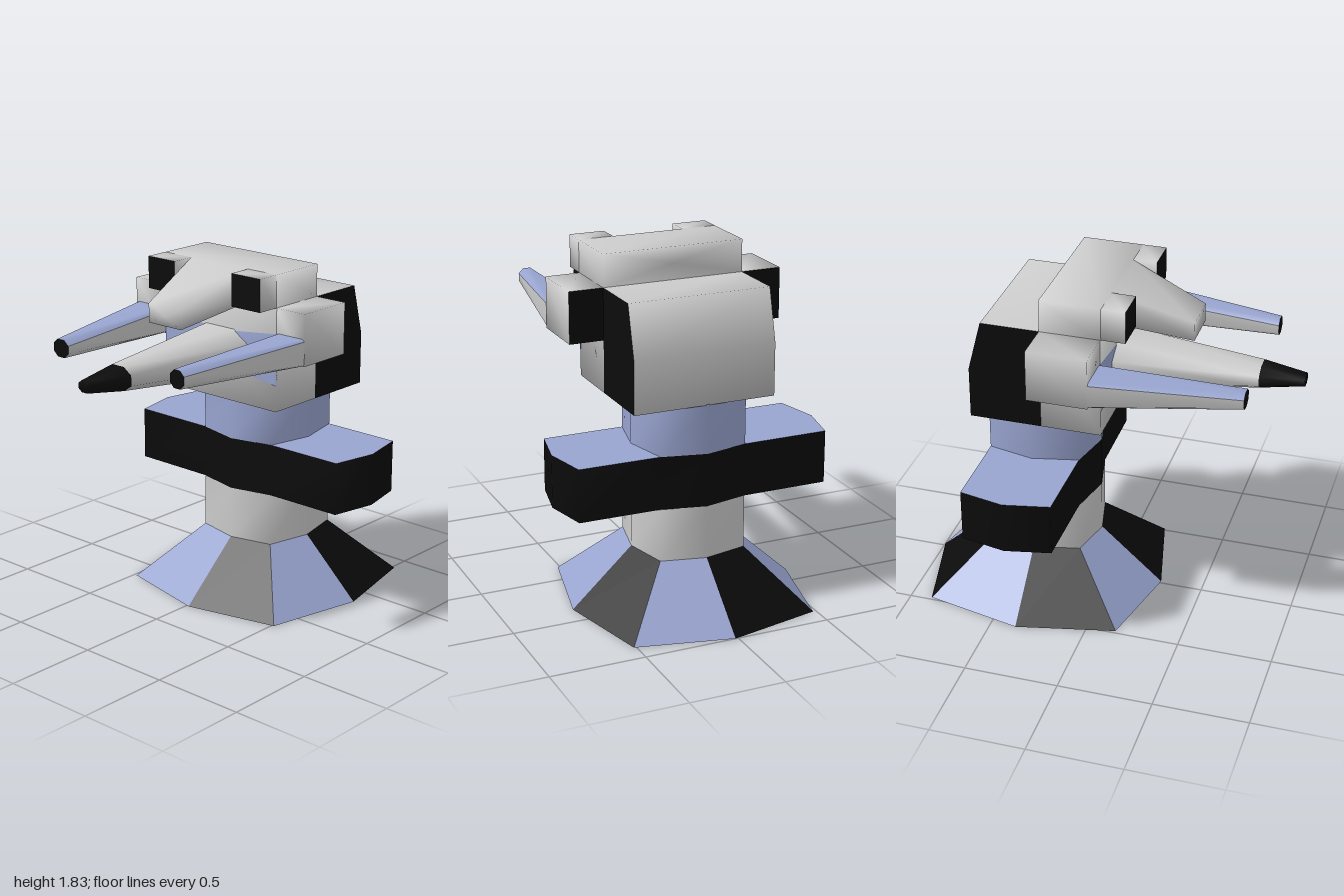
import * as THREE from 'three';
import { mergeVertices } from 'three/addons/utils/BufferGeometryUtils.js';

const GREY = 0xcccccc, LILAC = 0x98a4cf, BLACK = 0x0b0b0b;
const V = (x, y, z) => new THREE.Vector3(x, y, z);

// Skin a row of equal-length rings. paint(band, side) gives a colour or null for
// no face; caps = [first, last] likewise. Each colour is smoothed on its own.
function loft(name, rings, paint, caps = [null, null]) {
  const tris = [], n = rings[0].length;
  for (let r = 0; r < rings.length - 1; r++) {
    for (let i = 0; i < n; i++) {
      const j = (i + 1) % n, c = paint(r, i);
      if (c === null) continue;
      const [a, b, d, e] = [rings[r][i], rings[r][j], rings[r + 1][j], rings[r + 1][i]];
      tris.push([c, a, b, d], [c, a, d, e]);
    }
  }
  const middle = (ring) => ring.reduce((s, p) => s.add(p), V(0, 0, 0)).divideScalar(n);
  const cap = (ring, c, flip) => {
    const m = middle(ring);
    ring.forEach((p, i) => {
      const q = ring[(i + 1) % n];
      tris.push(flip ? [c, m, q, p] : [c, m, p, q]);
    });
  };
  if (caps[0] !== null) cap(rings[0], caps[0], true);
  if (caps[1] !== null) cap(rings[rings.length - 1], caps[1], false);

  // Turn all faces outwards
  const centre = middle(rings[0]).add(middle(rings[rings.length - 1])).multiplyScalar(0.5);
  let volume = 0;
  for (const [, a, b, c] of tris) {
    volume += a.clone().sub(centre).dot(b.clone().sub(centre).cross(c.clone().sub(centre)));
  }
  const byColor = new Map();
  for (const [color, a, b, c] of tris) {
    if (!byColor.has(color)) byColor.set(color, []);
    byColor.get(color).push(...(volume < 0 ? [a, c, b] : [a, b, c]));
  }
  const group = new THREE.Group();
  group.name = name;
  for (const [color, points] of byColor) {
    const geometry = mergeVertices(new THREE.BufferGeometry().setFromPoints(points));
    geometry.computeVertexNormals();
    const mesh = new THREE.Mesh(geometry, new THREE.MeshStandardMaterial({ color }));
    mesh.name = name + 'Surface';
    group.add(mesh);
  }
  return group;
}

const all = (color) => () => color;
const rect = (x0, x1, y0, y1, z) => [V(x0, y0, z), V(x1, y0, z), V(x1, y1, z), V(x0, y1, z)];

// Chamfered rectangle facing z; sides 3, 4 and 5 look upwards
function chamfered(x0, x1, y0, y1, z, k) {
  const cx = (x1 - x0) * k, cy = (y1 - y0) * k;
  return [
    V(x0 + cx, y0, z), V(x1 - cx, y0, z), V(x1, y0 + cy, z), V(x1, y1 - cy, z),
    V(x1 - cx, y1, z), V(x0 + cx, y1, z), V(x0, y1 - cy, z), V(x0, y0 + cy, z),
  ];
}

// Eight-sided section of the foot and neck
function octagon(y, hx, hz) {
  const dx = hx * 0.81, dz = hz * 0.82;
  return [[0, hz], [dx, dz], [hx, 0], [dx, -dz], [0, -hz], [-dx, -dz], [-hx, 0], [-dx, dz]]
    .map(([x, z]) => V(0.015 + x, y, z - 0.365));
}

export function createModel() {
  const model = new THREE.Group();
  const add = (...args) => model.add(loft(...args));

  // Flared foot with alternating panels
  add('base', [octagon(0, 0.615, 0.635), octagon(0.3, 0.288, 0.297)],
    (r, i) => (i % 2 ? LILAC : BLACK), [GREY, null]);

  // Neck below and above the cross bar
  add('lowerNeck', [octagon(0.3, 0.288, 0.297), octagon(0.58, 0.288, 0.297)], all(GREY));
  add('upperNeck', [octagon(0.86, 0.288, 0.297), octagon(1.12, 0.288, 0.297)], all(LILAC));

  // Cross bar: two stub arms growing out of the neck
  const barRing = (y) => [
    [0.015, 0.297], [0.25, 0.243], [0.68, 0.24], [0.73, 0], [0.68, -0.24], [0.25, -0.243],
    [0.015, -0.297], [-0.22, -0.243], [-0.68, -0.24], [-0.73, 0], [-0.68, 0.24], [-0.22, 0.243],
  ].map(([x, z]) => V(x, y, z - 0.365));
  add('crossBar', [barRing(0.58), barRing(0.86)], all(BLACK), [GREY, LILAC]);

  // Back of the head: grey skin with black cheeks
  const backRing = (x) => [[1.115, -0.28], [1.66, -0.28], [1.66, -0.59], [1.39, -0.66], [1.115, -0.66]]
    .map(([y, z]) => V(x, y, z));
  add('headBack', [backRing(-0.35), backRing(0.41)],
    (r, i) => (i === 0 ? null : GREY), [BLACK, BLACK]);

  // Front of the head and the brow above it
  add('headFront', [rect(-0.35, 0.41, 1.115, 1.66, -0.28), rect(-0.35, 0.41, 1.115, 1.66, 0.036)],
    all(GREY), [null, GREY]);
  add('brow', [rect(-0.35, 0.41, 1.66, 1.83, -0.28), rect(-0.35, 0.41, 1.66, 1.83, 0.04)],
    (r, i) => (i === 0 ? null : GREY), [GREY, GREY]);

  // Coloured face panel
  const faceRing = (z) => [[-0.35, 1.255], [0.03, 1.3], [0.41, 1.255], [0.41, 1.525], [0.03, 1.48], [-0.35, 1.525]]
    .map(([x, y]) => V(x, y, z));
  add('facePanel', [faceRing(0.03), faceRing(0.04)], all(LILAC), [null, LILAC]);

  // Eyes: blocks with black fronts
  for (const [name, x0, x1] of [['rightEye', -0.35, -0.165], ['leftEye', 0.222, 0.41]]) {
    add(name, [rect(x0, x1, 1.66, 1.83, 0.04), rect(x0, x1, 1.66, 1.83, 0.165)],
      all(GREY), [null, BLACK]);
  }

  // Nose ridge sloping down between the eyes
  add('nose', [rect(-0.165, 0.222, 1.66, 1.83, 0.04), rect(-0.08, 0.14, 1.58, 1.68, 0.445)],
    all(GREY), [null, GREY]);

  // Long snout with a black tip
  add('snout', [
    chamfered(-0.16, 0.22, 1.255, 1.5, 0.03, 0.25),
    chamfered(-0.06, 0.118, 1.328, 1.45, 0.775, 0.28),
    chamfered(-0.015, 0.067, 1.362, 1.422, 1.0, 0.28),
  ], (r) => (r === 0 ? GREY : BLACK), [null, BLACK]);

  // Side blocks, each carrying a tusk
  const sides = [
    ['right', -0.567, -0.35, -0.42, -0.315],
    ['left', 0.41, 0.592, 0.38, 0.472],
  ];
  for (const [side, x0, x1, tip0, tip1] of sides) {
    add(side + 'SideBlock', [rect(x0, x1, 1.39, 1.66, -0.28), rect(x0, x1, 1.39, 1.66, 0.036)],
      all(GREY), [BLACK, GREY]);
    add(side + 'Tusk', [
      chamfered(x0, x1, 1.39, 1.53, 0.03, 0.08),
      chamfered(tip0, tip1, 1.415, 1.507, 0.78, 0.28),
    ], (r, i) => (i >= 3 && i <= 5 ? LILAC : GREY), [null, BLACK]);
  }
  return model;
}
